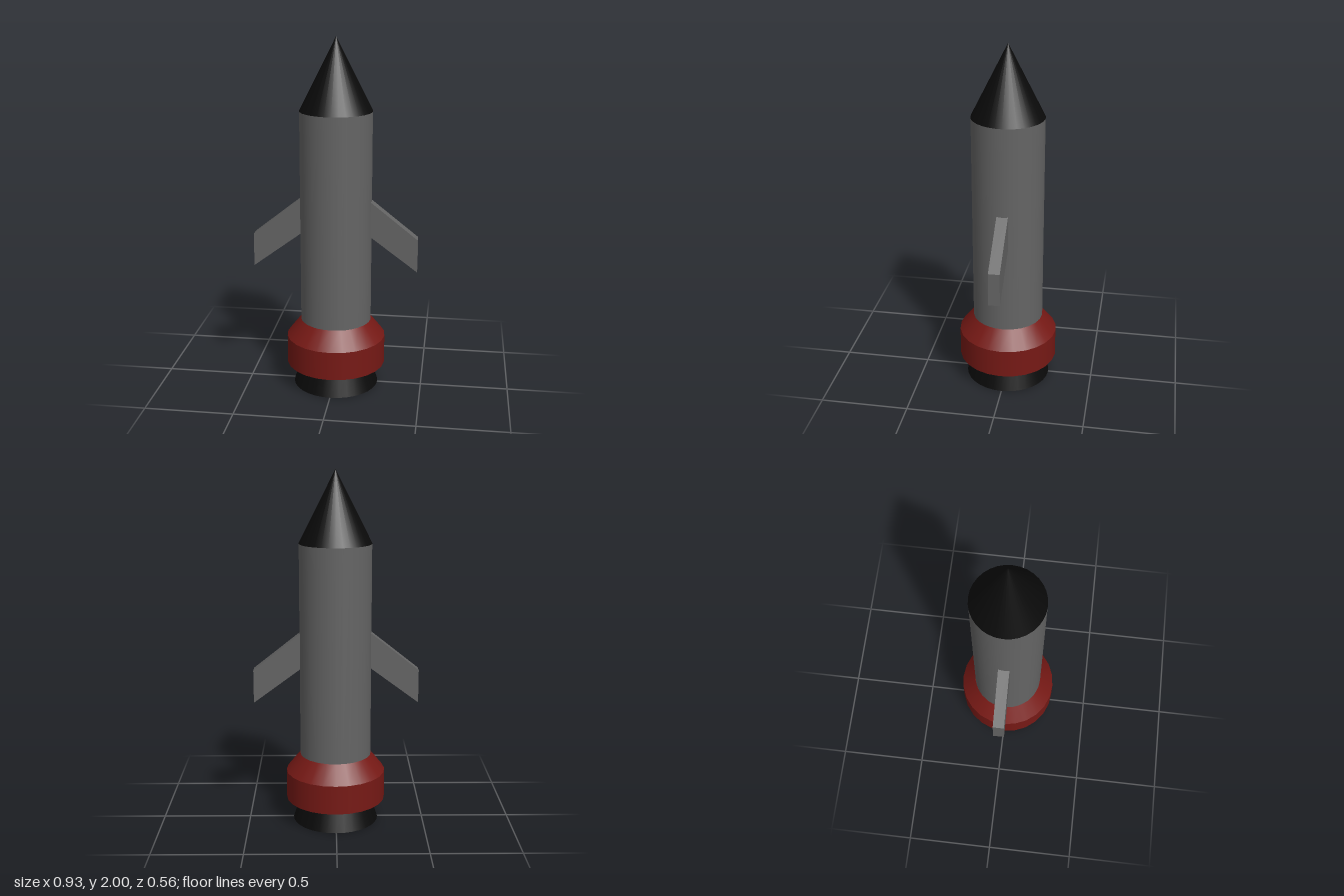
import * as THREE from 'three';

const paint = (color) => new THREE.MeshStandardMaterial({ color });

export function createModel() {
  const rocket = new THREE.Group();
  rocket.name = 'rocket';
  const grey = paint(0x646464);
  const red = paint(0x761915);
  const black = paint(0x0a0a0a);

  const add = (name, geometry, material, x = 0, y = 0) => {
    const mesh = new THREE.Mesh(geometry, material);
    mesh.name = name;
    mesh.position.set(x, y, 0);
    rocket.add(mesh);
    return mesh;
  };

  // Upright round section between two heights, on the hull's axis
  const axis = 0.003;
  const section = (name, rTop, rBottom, y0, y1, sides, material, open = false) =>
    add(name, new THREE.CylinderGeometry(rTop, rBottom, y1 - y0, sides, 1, open), material, axis, (y0 + y1) / 2);

  // Hull
  section('body', 0.201, 0.201, 0.39, 1.6, 32, grey);
  add('noseCone', new THREE.ConeGeometry(0.202, 0.4, 32), black, axis, 1.8);

  // Engine: flared nozzle under a bevelled collar
  section('nozzle', 0.2, 0.243, 0, 0.13, 32, black);
  section('collarBand', 0.282, 0.282, 0.13, 0.295, 24, red);
  section('collarBevel', 0.202, 0.282, 0.295, 0.395, 24, red, true);

  // Swept fins, rooted just inside the hull
  const outline = new THREE.Shape([
    new THREE.Vector2(0.19, 0.905),
    new THREE.Vector2(0.464, 0.702),
    new THREE.Vector2(0.464, 0.89),
    new THREE.Vector2(0.19, 1.107),
  ]);
  const finGeometry = new THREE.ExtrudeGeometry(outline, { depth: 0.063, bevelEnabled: false });
  finGeometry.translate(0, 0, -0.0315);
  add('leftFin', finGeometry, grey);
  add('rightFin', finGeometry, grey).rotation.y = Math.PI;

  return rocket;
}
